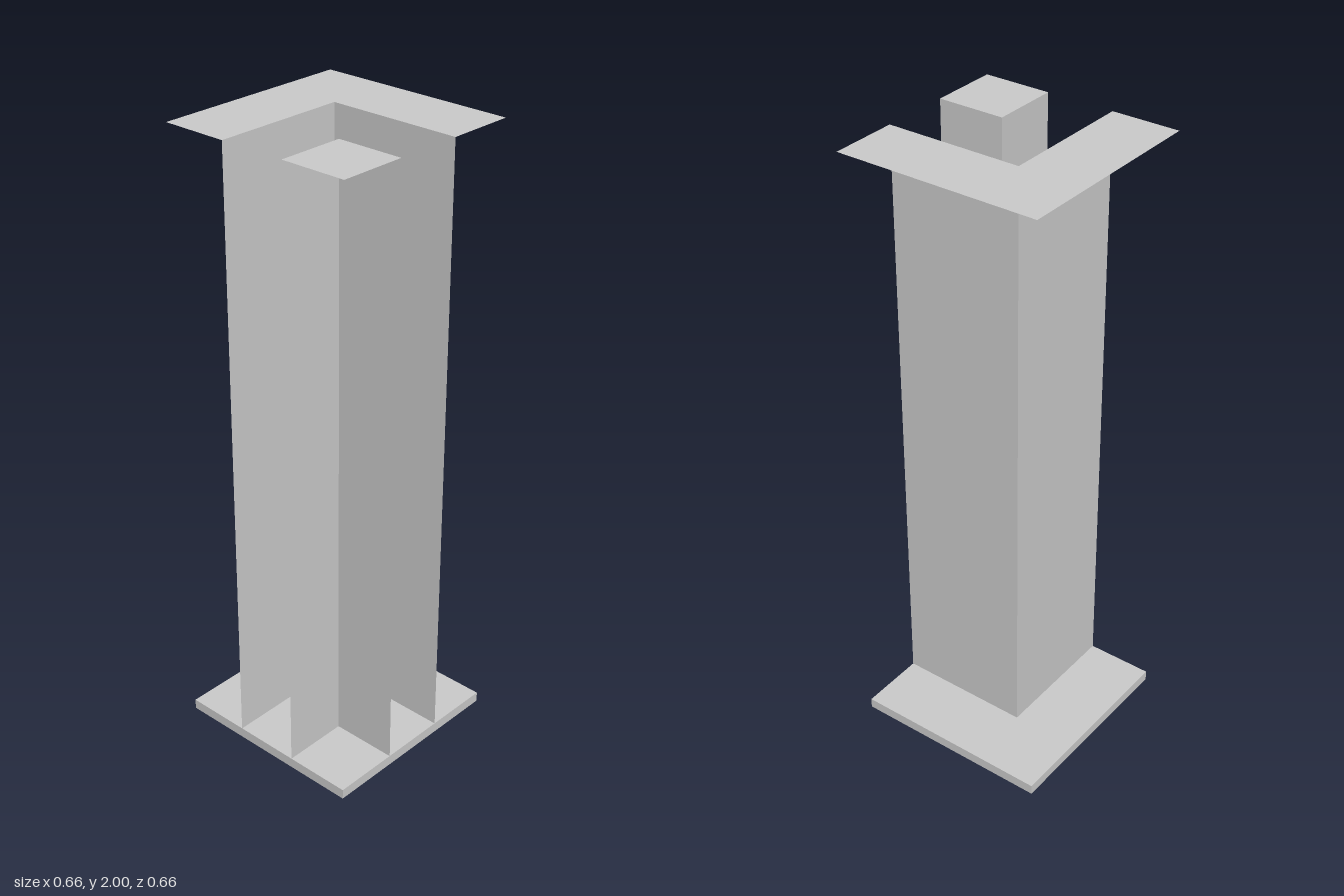
import * as THREE from 'three';

const R = 0.328;   // half width of the base
const T = 0.11;    // half width of the L-shaped passage
const BASE = 0.033; // base thickness
const TOP = 2;

export function createModel() {
  const model = new THREE.Group();
  const solid = new THREE.MeshStandardMaterial({ color: 0xcccccc, flatShading: true });
  const sheet = new THREE.MeshStandardMaterial({ color: 0xcccccc, flatShading: true, side: THREE.DoubleSide });

  const add = (name, geometry, material = sheet) => {
    const mesh = new THREE.Mesh(geometry, material);
    mesh.name = name;
    model.add(mesh);
    return mesh;
  };

  // Thin horizontal cap; points are [x, z]
  const cap = (name, points) => {
    const shape = new THREE.Shape(points.map(([x, z]) => new THREE.Vector2(x, -z)));
    add(name, new THREE.ShapeGeometry(shape).rotateX(-Math.PI / 2)).position.y = TOP;
  };

  // Upright sheets: acrossWall runs along x, alongWall runs along z
  const height = TOP - BASE;
  const midY = (TOP + BASE) / 2;
  const acrossWall = (name, x0, x1, z) =>
    add(name, new THREE.PlaneGeometry(x1 - x0, height)).position.set((x0 + x1) / 2, midY, z);
  const alongWall = (name, z0, z1, x) =>
    add(name, new THREE.PlaneGeometry(z1 - z0, height).rotateY(Math.PI / 2)).position.set(x, midY, (z0 + z1) / 2);

  // Base slab
  add('floorSlab', new THREE.BoxGeometry(2 * R, BASE, 2 * R), solid).position.y = BASE / 2;

  // Outer corner: two long walls under an L-shaped cap
  acrossWall('outerBackWall', -R, T, -T);
  alongWall('outerSideWall', -T, R, T);
  cap('outerCap', [[-R, -T], [-R, -R], [R, -R], [R, R], [T, R], [T, -T]]);

  // Inner corner: two short walls under a square cap
  acrossWall('innerBackWall', -R, -T, T);
  alongWall('innerSideWall', T, R, -T);
  cap('innerCap', [[-R, R], [-T, R], [-T, T], [-R, T]]);

  return model;
}
